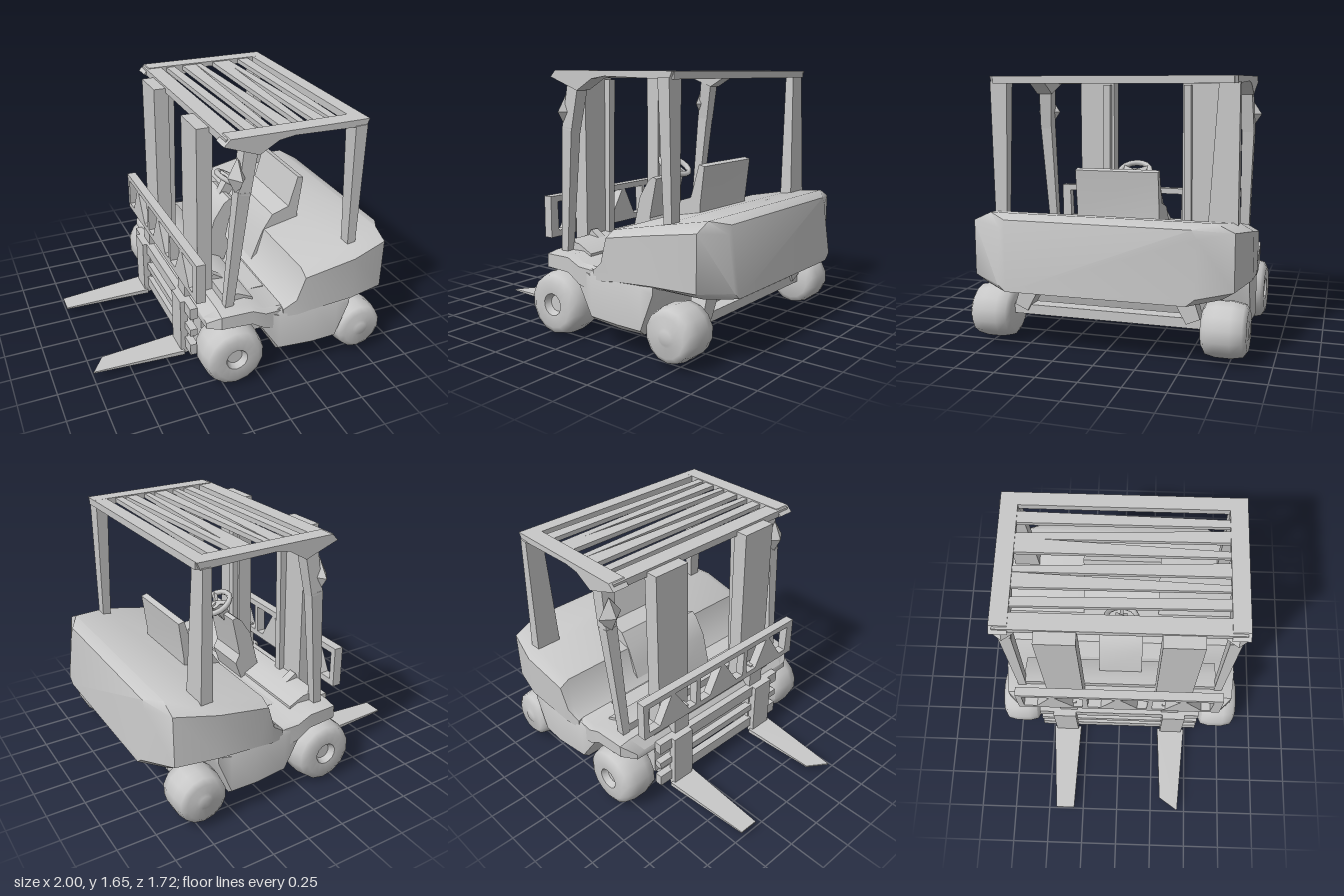
import * as THREE from 'three';
import { toCreasedNormals } from 'three/addons/utils/BufferGeometryUtils.js';

const grey = new THREE.MeshStandardMaterial({ color: 0xc8c8c8 });
grey.name = 'plain grey';

const V = (x, y, z) => new THREE.Vector3(x, y, z);
const shapeOf = pts => new THREE.Shape(pts.map(p => new THREE.Vector2(...p)));

export function createModel() {
  const model = new THREE.Group();
  model.name = 'forklift';

  const add = (name, geometry, crease = 0.6) => {
    const mesh = new THREE.Mesh(toCreasedNormals(geometry, crease), grey);
    mesh.name = name;
    model.add(mesh);
  };

  const box = (name, x0, x1, y0, y1, z0, z1) => {
    const g = new THREE.BoxGeometry(x1 - x0, y1 - y0, z1 - z0);
    g.translate((x0 + x1) / 2, (y0 + y1) / 2, (z0 + z1) / 2);
    add(name, g);
  };

  // Four-sided bar between two points; w0 and w1 are its widths at the ends
  const beam = (name, a, b, w0, w1 = w0, depth = 1) => {
    const dir = b.clone().sub(a);
    const g = new THREE.CylinderGeometry(w1 * Math.SQRT1_2, w0 * Math.SQRT1_2, dir.length(), 4);
    g.rotateY(Math.PI / 4);
    g.scale(1, 1, depth);
    g.applyQuaternion(new THREE.Quaternion().setFromUnitVectors(V(0, 1, 0), dir.normalize()));
    g.translate((a.x + b.x) / 2, (a.y + b.y) / 2, (a.z + b.z) / 2);
    add(name, g);
  };

  // Side profile in x and y, extruded across z
  const slab = (name, pts, z0, z1) => {
    const g = new THREE.ExtrudeGeometry(shapeOf(pts), { depth: z1 - z0, bevelEnabled: false });
    g.translate(0, 0, z0);
    add(name, g);
  };

  // Mirrored eight-sided cross-sections along x:
  // [x, bottom y, top y, half width at bottom, at sides, at top, x of top edge]
  const loft = (name, sections) => {
    const pos = [], index = [];
    for (const [x, yb, yt, hb, hm, ht, xt = x] of sections) {
      const h = yt - yb;
      pos.push(x, yb, hb, x, yb, -hb,
        x, yb + h * 0.1, -hm, xt, yt - h * 0.12, -hm, xt, yt, -ht,
        xt, yt, ht, xt, yt - h * 0.12, hm, x, yb + h * 0.1, hm);
    }
    const n = sections.length;
    for (let i = 0; i < n - 1; i++) for (let j = 0; j < 8; j++) {
      const a = i * 8 + j, b = i * 8 + (j + 1) % 8;
      index.push(a, b, b + 8, a, b + 8, a + 8);
    }
    for (let j = 1; j < 7; j++) {
      const e = (n - 1) * 8;
      index.push(0, j + 1, j, e, e + j, e + j + 1);
    }
    const g = new THREE.BufferGeometry();
    g.setAttribute('position', new THREE.Float32BufferAttribute(pos, 3));
    g.setIndex(index);
    add(name, g, 0.7);
  };

  // Hood and counterweight
  loft('hoodAndCounterweight', [
    [0.15, 0.42, 0.49, 0.76, 0.82, 0.8],
    [0.24, 0.42, 0.56, 0.78, 0.84, 0.8, 0.23],
    [0.34, 0.42, 0.74, 0.78, 0.85, 0.78, 0.28],
    [0.62, 0.44, 0.81, 0.78, 0.86, 0.78],
    [0.88, 0.42, 0.85, 0.72, 0.79, 0.68],
    [1.0, 0.40, 0.82, 0.54, 0.59, 0.56, 0.955],
  ]);

  // Lower chassis with the wide upright steps, and the part between the wheels
  loft('stepChassis', [
    [0.0, 0.38, 0.5, 0.6, 0.8, 0.76],
    [0.13, 0.16, 0.48, 0.78, 0.82, 0.8],
    [0.36, 0.16, 0.53, 0.81, 0.85, 0.83],
    [0.53, 0.16, 0.48, 0.8, 0.84, 0.82],
    [0.62, 0.42, 0.47, 0.78, 0.84, 0.8],
  ]);
  box('frontChassis', -0.3, 0.14, 0.16, 0.5, -0.55, 0.55);
  loft('frontFenders', [
    [-0.33, 0.4, 0.45, 0.5, 0.72, 0.66],
    [-0.26, 0.42, 0.53, 0.55, 0.8, 0.72],
    [-0.06, 0.42, 0.54, 0.55, 0.82, 0.76],
    [0.03, 0.36, 0.5, 0.55, 0.82, 0.78],
    [0.2, 0.3, 0.49, 0.55, 0.8, 0.78],
  ]);
  slab('frontCowl', [[-0.2, 0.5], [-0.2, 0.59], [-0.1, 0.58], [0, 0.53], [0, 0.49]], -0.68, 0.68);

  // Seat, dashboard column and steering wheel
  slab('seat', [[0.18, 0.5], [0.22, 0.6], [0.27, 0.73], [0.34, 0.84], [0.46, 0.88],
    [0.52, 1.09], [0.56, 1.08], [0.53, 0.83], [0.53, 0.7]], -0.27, 0.26);
  slab('dashboard', [[-0.07, 0.5], [-0.1, 0.58], [-0.04, 0.82], [0.03, 0.93], [0.07, 0.96],
    [0.1, 0.95], [0.06, 0.76], [0.045, 0.68], [0.075, 0.62], [0.03, 0.49]], -0.15, 0.15);
  const tilt = V(0.5, 0.87, 0).normalize();
  beam('steeringColumn', V(0.07, 0.92, 0), V(0.14, 1.03, 0), 0.06, 0.08);
  const rim = new THREE.TorusGeometry(0.103, 0.019, 6, 16);
  rim.applyQuaternion(new THREE.Quaternion().setFromUnitVectors(V(0, 0, 1), tilt));
  rim.translate(0.14, 1.03, 0);
  add('steeringWheelRim', rim, 1.2);
  for (let i = 0; i < 3; i++) {
    const a = i * Math.PI * 2 / 3;
    const end = V(Math.cos(a) * 0.087, -Math.cos(a) * 0.05, Math.sin(a) * 0.1);
    beam('steeringWheelSpoke', V(0.14, 1.03, 0), end.add(V(0.14, 1.03, 0)), 0.025);
  }

  // Wheels: rounded solid tyre; hub is the side offset at the middle
  const wheel = (name, x, y, r, side, hub) => {
    const w = 0.135;
    const profile = [[0, hub], [0.25, hub], [0.35, w * 0.93], [0.72, w * 0.97], [0.92, w * 0.8],
      [1, w * 0.3], [1, -w * 0.4], [0.92, -w * 0.85], [0.72, -w], [0, -w]];
    const g = new THREE.LatheGeometry(profile.map(p => new THREE.Vector2(p[0] * r, -p[1])), 14);
    g.rotateX(side > 0 ? -Math.PI / 2 : Math.PI / 2);
    g.translate(x, y, side * 0.725);
    add(name, g, 0.9);
  };

  for (const s of [-1, 1]) {
    wheel('frontWheel', -0.175, 0.21, 0.205, s, 0.085);
    wheel('rearWheel', 0.72, 0.2, 0.168, s, 0.135);
    beam('rearKingpin', V(0.74, 0.24, s * 0.54), V(0.72, 0.45, s * 0.45), 0.09, 0.13);

    // Mast: outer channel, inner channel, lift and tilt cylinders
    box('mastOuterChannel', -0.3, -0.2, 0.1, 1.64, s * 0.375 - 0.125, s * 0.375 + 0.125);
    box('mastInnerChannel', -0.36, -0.3, 0.08, 0.62, s * 0.36 - 0.06, s * 0.36 + 0.06);
    beam('liftCylinder', V(-0.19, 0.5, s * 0.3), V(-0.18, 1.6, s * 0.29), 0.05);
    beam('tiltCylinder', V(-0.2, 0.6, s * 0.45), V(0.02, 0.46, s * 0.45), 0.06);

    // Cage posts with a bulging lamp on each front post
    beam('frontPost', V(-0.18, 0.52, s * 0.7), V(-0.11, 1.32, s * 0.72), 0.055, 0.08);
    beam('frontPostTop', V(-0.11, 1.3, s * 0.72), V(-0.06, 1.62, s * 0.7), 0.08, 0.09);
    const lamp = new THREE.OctahedronGeometry(0.11);
    lamp.scale(0.55, 1.1, 0.75);
    lamp.translate(-0.14, 1.41, s * 0.72);
    add('frontLamp', lamp);

    // Roof side rail with a drooping bracket at the front post
    slab('roofSideRail', [[-0.24, 1.62], [-0.2, 1.66], [0.69, 1.655], [0.67, 1.61],
      [0.2, 1.625], [0.1, 1.61], [-0.02, 1.54]], s * 0.705 - 0.055, s * 0.705 + 0.055);

    // Fork: upright heel and tapering blade
    box('forkHeel', -0.41, -0.36, 0.05, 0.46, s * 0.39 - 0.08, s * 0.39 + 0.08);
    const blade = new THREE.BoxGeometry(0.61, 0.03, 0.2);
    blade.translate(-0.695, 0.065, s * 0.39);
    const p = blade.attributes.position;
    for (let i = 0; i < p.count; i++) if (p.getX(i) < -0.7) {
      p.setY(i, p.getY(i) > 0.065 ? 0.06 : 0.05);
      p.setZ(i, s * 0.38 + (p.getZ(i) - s * 0.39) * 0.65);
      if (s > 0 && p.getZ(i) < 0.38) p.setX(i, -0.91);
    }
    add('forkBlade', blade);
  }

  // Rear cage posts: the right one flares at its foot
  beam('rearPostLeft', V(0.655, 0.78, 0.71), V(0.635, 1.62, 0.71), 0.055, 0.08, 1.4);
  beam('rearPostRight', V(0.655, 0.78, -0.69), V(0.635, 1.62, -0.71), 0.08, 0.055, 2.2);

  // Axles
  box('frontAxle', -0.23, -0.12, 0.15, 0.27, -0.62, 0.62);
  box('rearAxle', 0.68, 0.77, 0.2, 0.26, -0.62, 0.62);

  // Roof end rails and tapering slats: [x at left end, x at right end, half widths]
  box('roofFrontRail', -0.22, -0.11, 1.61, 1.655, -0.74, 0.74);
  box('roofRearRail', 0.6, 0.69, 1.61, 1.655, -0.74, 0.74);
  const slats = [[-0.02, -0.04, 0.035, 0.03], [0.08, 0.1, 0.02, 0.05], [0.2, 0.17, 0.045, 0.02],
    [0.3, 0.33, 0.02, 0.05], [0.42, 0.39, 0.04, 0.02], [0.51, 0.52, 0.025, 0.04]];
  for (const [a, b, wa, wb] of slats) {
    const g = new THREE.ExtrudeGeometry(
      shapeOf([[a - wa, -0.68], [a + wa, -0.68], [b + wb, 0.68], [b - wb, 0.68]]),
      { depth: 0.03, bevelEnabled: false });
    g.rotateX(-Math.PI / 2);
    g.translate(0, 1.62, 0);
    add('roofSlat', g);
  }

  // Load backrest: long plate with a row of alternating three-cornered openings
  const rest = shapeOf([[-0.7, 0.59], [0.7, 0.59], [0.7, 0.86], [-0.7, 0.86]]);
  for (let i = 0; i < 6; i++) {
    const x = -0.66 + i * 0.222, near = i % 2 ? 0.16 : 0.04, far = 0.2 - near;
    rest.holes.push(new THREE.Path([[x + near - 0.04, 0.63], [x + near - 0.04 + 0.09 * (far > near ? 1 : 0.7), 0.63],
      [x + 0.19, 0.82], [x, 0.82]].map(q => new THREE.Vector2(...q))));
  }
  const restGeo = new THREE.ExtrudeGeometry(rest, { depth: 0.06, bevelEnabled: false });
  restGeo.rotateY(-Math.PI / 2);
  restGeo.translate(-0.325, 0, 0);
  add('loadBackrest', restGeo);

  // Fork carriage bars and the uprights that carry the backrest
  for (const [y0, y1] of [[0.38, 0.46], [0.25, 0.3], [0.1, 0.18]]) {
    box('carriageBar', -0.38, -0.33, y0, y1, -0.57, 0.57);
  }
  for (const z of [-0.36, 0.36]) box('carriageUpright', -0.36, -0.31, 0.4, 0.64, z - 0.06, z + 0.06);

  return model;
}
